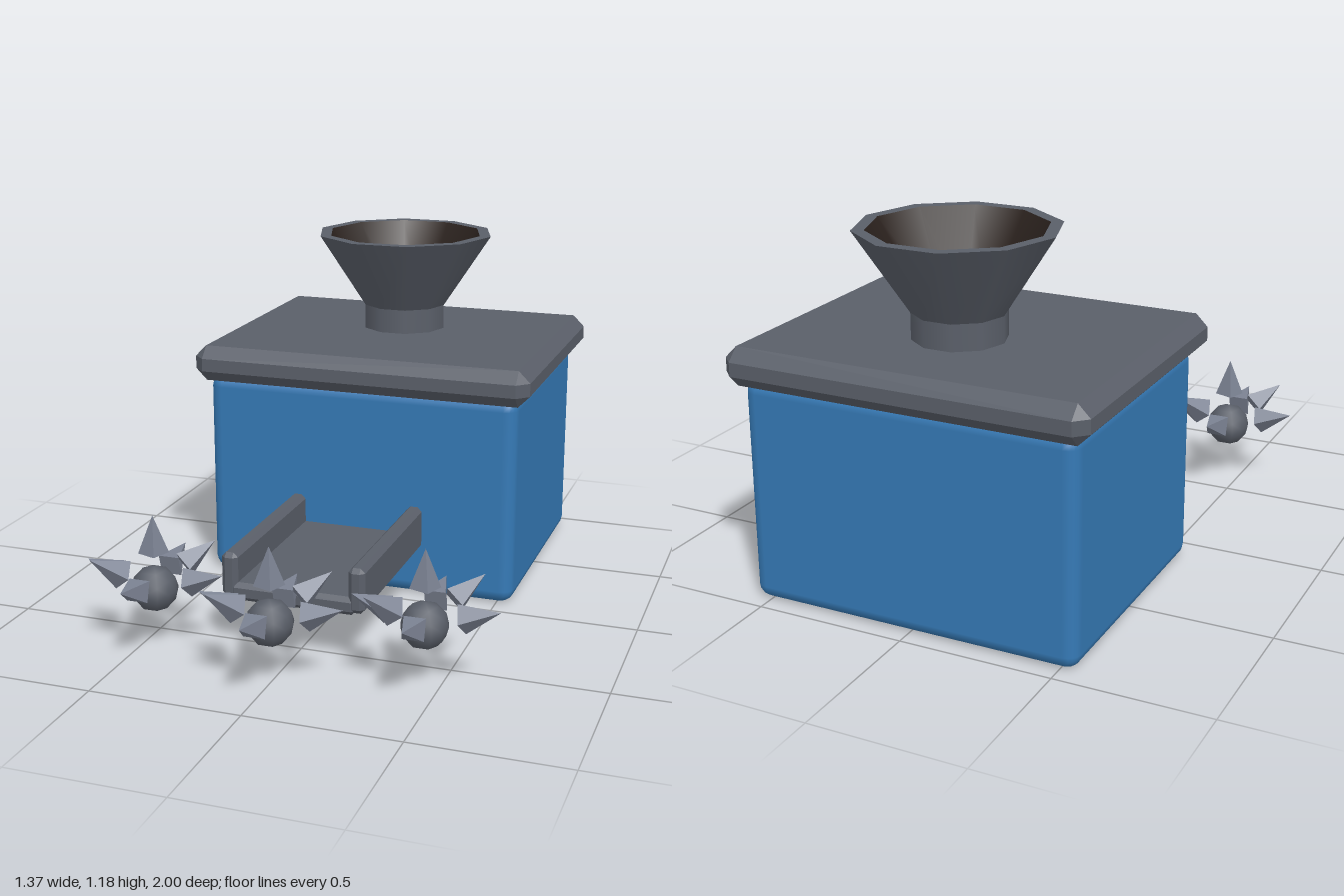
import * as THREE from 'three';
import { RoundedBoxGeometry } from 'three/addons/geometries/RoundedBoxGeometry.js';
import { ConvexGeometry } from 'three/addons/geometries/ConvexGeometry.js';

const paint = (color, flatShading = false) => new THREE.MeshStandardMaterial({ color, flatShading });

function add(parent, name, geometry, material, x = 0, y = 0, z = 0) {
  const mesh = new THREE.Mesh(geometry, material);
  mesh.name = name;
  mesh.position.set(x, y, z);
  parent.add(mesh);
  return mesh;
}

// Box with every edge and corner cut by a flat chamfer c
function chamferBox(w, h, d, c) {
  const points = [];
  for (const sx of [-1, 1]) for (const sy of [-1, 1]) for (const sz of [-1, 1]) {
    for (const [a, b, e] of [[0, c, c], [c, 0, c], [c, c, 0]]) {
      points.push(new THREE.Vector3(sx * (w / 2 - a), sy * (h / 2 - b), sz * (d / 2 - e)));
    }
  }
  return new ConvexGeometry(points);
}

// Open ten-sided tube with corners on the x axis
const tube = (rTop, rBottom, h) =>
  new THREE.CylinderGeometry(rTop, rBottom, h, 10, 1, true).rotateY(Math.PI / 2);

export function createModel() {
  const model = new THREE.Group();
  model.name = 'spikeLauncher';

  const blue = paint(0x3579b5);
  const metal = paint(0x5a5f69);
  const metalFlat = paint(0x5a5f69, true);
  const steel = paint(0x7b8292, true);
  const dark = paint(0x2a211d);
  dark.side = THREE.DoubleSide;

  // Body and lid
  add(model, 'body', new RoundedBoxGeometry(1.11, 0.73, 0.895, 2, 0.045), blue, 0, 0.37, -0.507);
  add(model, 'lid', chamferBox(1.2, 0.125, 0.985, 0.04), metalFlat, 0, 0.777, -0.508);

  // Hopper: neck, flared cone, rim and dark lining
  const hopper = new THREE.Group();
  hopper.name = 'hopper';
  hopper.position.z = -0.592;
  model.add(hopper);
  add(hopper, 'neck', tube(0.15, 0.15, 0.105), metal, 0, 0.8725);
  add(hopper, 'cone', tube(0.32, 0.15, 0.26), metal, 0, 1.055);
  add(hopper, 'rim', new THREE.RingGeometry(0.28, 0.32, 10).rotateX(-Math.PI / 2), metal, 0, 1.185);
  add(hopper, 'lining', tube(0.28, 0.115, 0.26), dark, 0, 1.055);
  add(hopper, 'hopperFloor', new THREE.CircleGeometry(0.115, 10).rotateX(-Math.PI / 2), dark, 0, 0.925);

  // Chute: tray between two rails
  const chute = new THREE.Group();
  chute.name = 'chute';
  model.add(chute);
  add(chute, 'tray', chamferBox(0.42, 0.06, 0.635, 0.015), metalFlat, 0, 0.207, 0.267);
  for (const s of [-1, 1]) {
    add(chute, s > 0 ? 'leftRail' : 'rightRail', chamferBox(0.055, 0.15, 0.635, 0.015), metalFlat, s * 0.2125, 0.26, 0.267);
  }

  // Spiked balls: spikes hover just off a small core; each entry is direction and twist
  const spikes = [
    [0, 1, 0, 0.45],
    [1, 0.3, 0, 0], [-1, 0.3, 0, 0],
    [0, 0.3, 1, Math.PI / 4], [0, 0.3, -1, Math.PI / 4],
    [1, 0.87, -1, Math.PI / 4], [-1, 0.87, 1, Math.PI / 4],
  ];
  const up = new THREE.Vector3(0, 1, 0);
  const coreGeometry = new THREE.IcosahedronGeometry(0.076, 1);
  const spikeGeometry = new THREE.ConeGeometry(0.049, 0.126, 4);
  for (const [x, z] of [[-0.45, 0.63], [0, 0.765], [0.45, 0.63]]) {
    const ball = new THREE.Group();
    ball.name = 'spikedBall';
    ball.position.set(x, 0.205, z);
    model.add(ball);
    add(ball, 'core', coreGeometry, metal);
    for (const [dx, dy, dz, twist] of spikes) {
      const dir = new THREE.Vector3(dx, dy, dz).normalize();
      const spike = add(ball, 'spike', spikeGeometry, steel);
      spike.position.copy(dir).multiplyScalar(0.183);
      spike.quaternion.setFromUnitVectors(up, dir);
      spike.rotateY(twist);
    }
  }

  return model;
}
